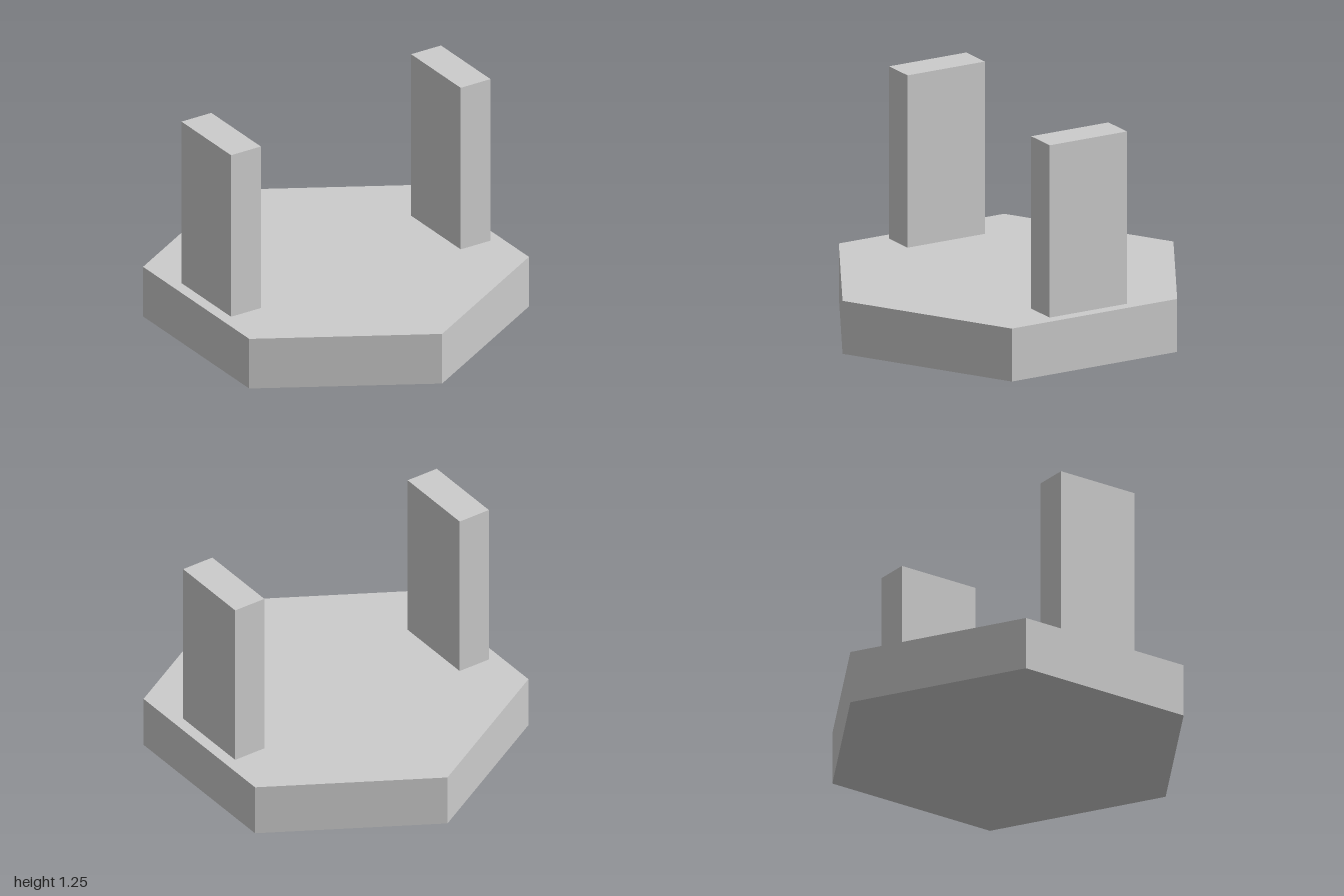
import * as THREE from 'three';

const BASE_RADIUS = 1.028;
const BASE_HEIGHT = 0.295;
const TOP = 1.255;

export function createModel() {
  const model = new THREE.Group();
  model.name = 'hexagonalStand';
  const material = new THREE.MeshStandardMaterial({ color: 0xcccccc, flatShading: true });

  // Six-sided base slab
  const base = new THREE.Mesh(
    new THREE.CylinderGeometry(BASE_RADIUS, BASE_RADIUS, BASE_HEIGHT, 6),
    material
  );
  base.name = 'base';
  base.position.y = BASE_HEIGHT / 2;

  // Everything is turned slightly about the vertical axis
  const assembly = new THREE.Group();
  assembly.name = 'turnedAssembly';
  assembly.rotation.y = 0.24;
  assembly.add(base);

  // Two upright posts, parallel to opposite flats of the base
  const postHeight = TOP - BASE_HEIGHT;
  const postGeometry = new THREE.BoxGeometry(0.19, postHeight, 0.48);
  for (const [name, side] of [['leftPost', 1], ['rightPost', -1]]) {
    const post = new THREE.Mesh(postGeometry, material);
    post.name = name;
    post.position.set(side * 0.731, BASE_HEIGHT + postHeight / 2, 0);
    assembly.add(post);
  }

  model.add(assembly);
  return model;
}
